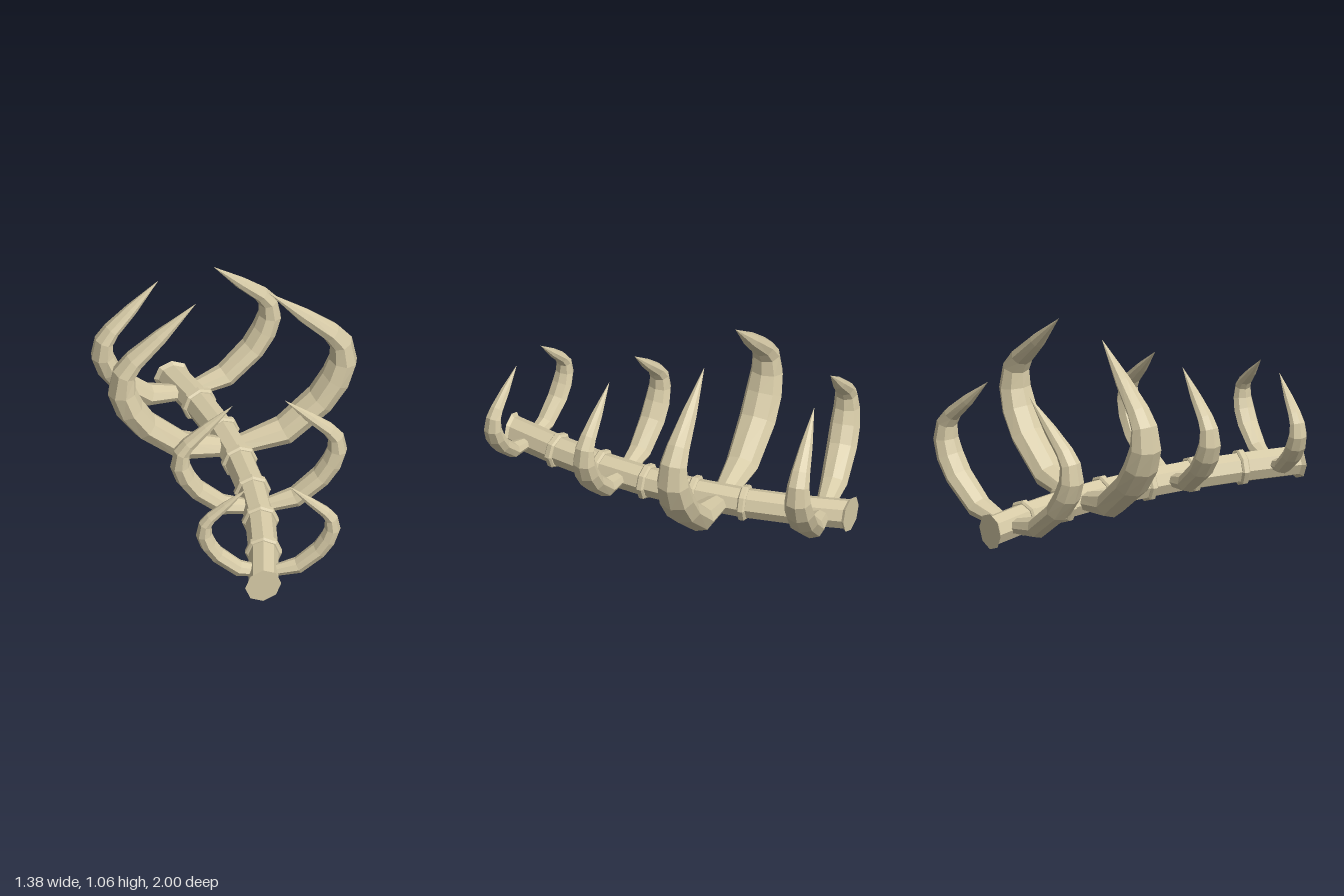
import * as THREE from 'three';

const SIDES = 8;
const V = (x, y, z) => new THREE.Vector3(x, y, z);

// Skin a list of rings { c, u, v } (centre and two half axes) with closed ends
function loft(rings) {
  const pos = [], idx = [];
  for (const { c, u, v } of rings) {
    for (let i = 0; i < SIDES; i++) {
      const a = (i / SIDES) * Math.PI * 2;
      const p = c.clone().addScaledVector(u, Math.cos(a)).addScaledVector(v, Math.sin(a));
      pos.push(p.x, p.y, p.z);
    }
  }
  const last = rings.length - 1, start = rings.length * SIDES, end = start + 1;
  pos.push(...rings[0].c.toArray(), ...rings[last].c.toArray());
  for (let i = 0; i < SIDES; i++) {
    const j = (i + 1) % SIDES;
    for (let k = 0; k < last; k++) {
      const a = k * SIDES, b = a + SIDES;
      idx.push(a + i, a + j, b + j, a + i, b + j, b + i);
    }
    idx.push(start, j, i, end, last * SIDES + i, last * SIDES + j);
  }
  const g = new THREE.BufferGeometry();
  g.setAttribute('position', new THREE.Float32BufferAttribute(pos, 3));
  g.setIndex(idx);
  const flat = g.toNonIndexed();
  flat.computeVertexNormals();
  return flat;
}

// Rib sections: x, y, half thickness, half width
const RIB = [
  [0.03, 0.0, 0.05, 0.06],
  [0.285, 0.055, 0.075, 0.093],
  [0.485, 0.225, 0.076, 0.105],
  [0.57, 0.35, 0.08, 0.104],
  [0.612, 0.465, 0.078, 0.092],
  [0.6, 0.58, 0.064, 0.078],
  [0.545, 0.655, 0.054, 0.067],
  [0.4, 0.785, 0.042, 0.044],
  [0.205, 0.965, 0.001, 0.001],
];

function ribGeometry() {
  return loft(RIB.map(([x, y, thick, wide], i) => {
    const a = RIB[Math.max(i - 1, 0)], b = RIB[Math.min(i + 1, RIB.length - 1)];
    const t = i === 0 ? V(1, 0, 0) : V(b[0] - a[0], b[1] - a[1], 0).normalize();
    return { c: V(x, y, 0), u: V(t.y, -t.x, 0).multiplyScalar(thick), v: V(0, 0, -wide) };
  }));
}

// Spine joints: z, x
const JOINTS = [
  [-1, -0.157], [-0.72, -0.08], [-0.435, -0.026], [-0.152, 0],
  [0.13, 0], [0.41, -0.026], [0.692, -0.08], [1, -0.16],
];
const SPINE_Y = 0.102, SPINE_R = 0.083, COLLAR_R = 0.1;

export function createModel() {
  const bone = new THREE.MeshStandardMaterial({ color: 0xd6caa6, flatShading: true });
  bone.name = 'bone';
  const model = new THREE.Group();
  model.name = 'ribcage';
  const add = (parent, geometry, name) => {
    const m = new THREE.Mesh(geometry, bone);
    m.name = name;
    parent.add(m);
    return m;
  };

  // Spine: bent octagonal rod flaring at both ends
  const ring = (z, x, r) => ({ c: V(x, SPINE_Y, z), u: V(r, 0, 0), v: V(0, r, 0) });
  const inner = JOINTS.slice(1, -1);
  add(model, loft([
    ring(-1, -0.157, COLLAR_R),
    ring(-0.983, -0.152, SPINE_R),
    ...inner.map(([z, x]) => ring(z, x, SPINE_R)),
    ring(0.983, -0.155, SPINE_R),
    ring(1, -0.16, COLLAR_R),
  ]), 'spine');

  // Raised collar around each joint, turned along the spine
  const collar = loft([
    ring(-0.022, 0, 0.088), ring(-0.013, 0, COLLAR_R),
    ring(0.013, 0, COLLAR_R), ring(0.022, 0, 0.088),
  ]);
  inner.forEach(([z, x], i) => {
    const a = JOINTS[i], b = JOINTS[i + 2];
    const pivot = new THREE.Group();
    pivot.name = 'collar' + (i + 1);
    pivot.position.set(x, 0, z);
    pivot.rotation.y = Math.atan2(b[1] - a[1], b[0] - a[0]);
    add(pivot, collar, 'collarRing');
    model.add(pivot);
  });

  // Rib pairs: name, x, z, scale, turn about the vertical
  const rib = ribGeometry();
  for (const [name, x, z, s, turn] of [
    ['frontRibs', -0.1, 0.872, 0.565, -0.165],
    ['middleRibs', -0.002, 0.278, 0.7, -0.07],
    ['largeRibs', 0, -0.3, 1, 0],
    ['backRibs', -0.117, -0.85, 0.797, 0.153],
  ]) {
    const pair = new THREE.Group();
    pair.name = name;
    pair.position.set(x, 0.1, z);
    pair.rotation.y = turn;
    pair.scale.setScalar(s);
    add(pair, rib, 'leftRib');
    add(pair, rib, 'rightRib').rotation.y = Math.PI;
    model.add(pair);
  }
  return model;
}
